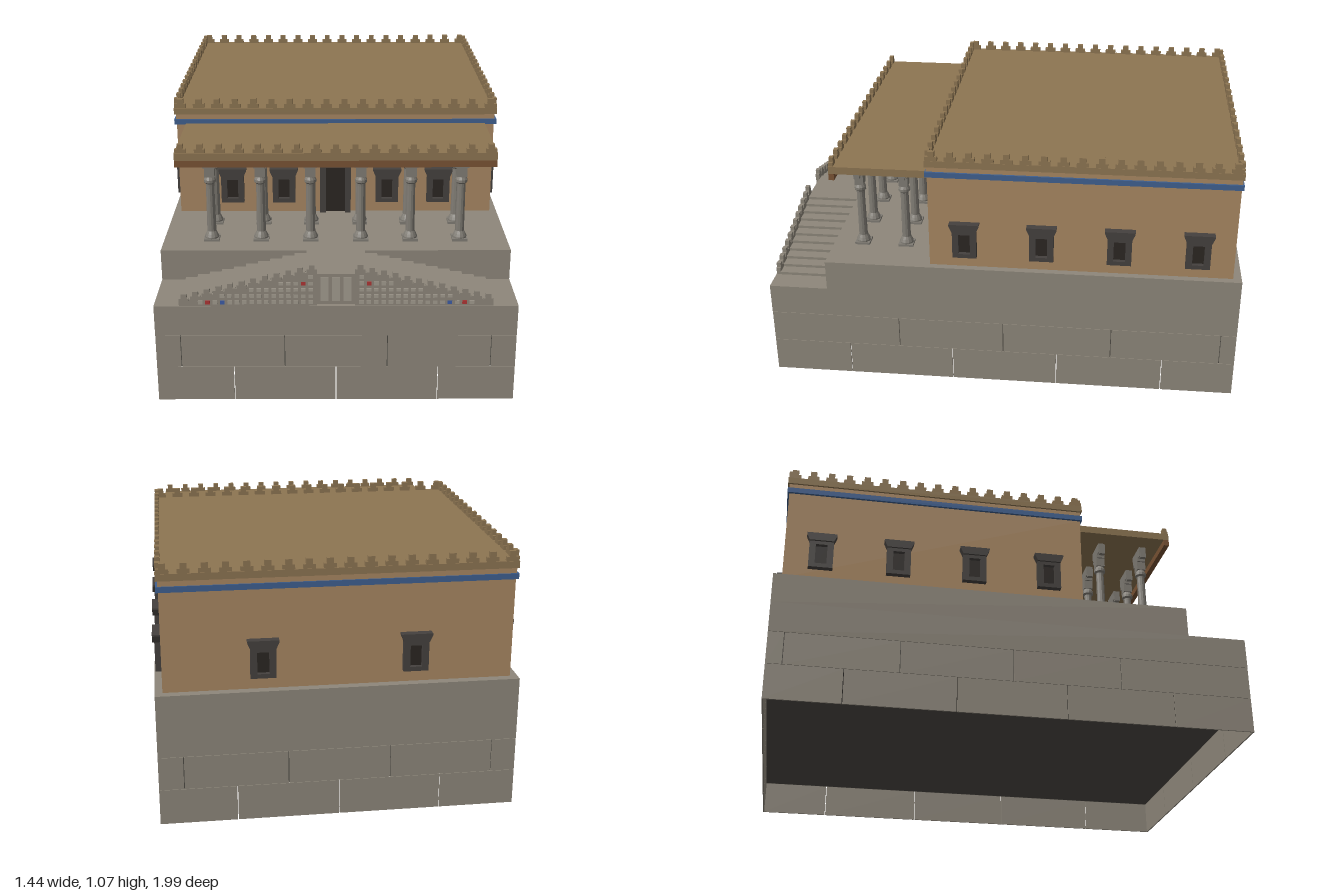
import * as THREE from 'three';

const mat = (color, extra = {}) => new THREE.MeshStandardMaterial({ color, ...extra });
const M = {
  stone: mat(0x8e877b), core: mat(0x4d4a44), tan: mat(0xa88762), roof: mat(0x8d7552),
  blue: mat(0x3f6090), dark: mat(0x45413e), hole: mat(0x2b2622), wood: mat(0x7a5334),
  column: mat(0x807c74), pale: mat(0xa39c90), red: mat(0xb03434), tile: mat(0x3c5ca8),
};

// Box given by its limits on each axis
function block(parent, name, m, x0, x1, y0, y1, z0, z1) {
  const mesh = new THREE.Mesh(new THREE.BoxGeometry(x1 - x0, y1 - y0, z1 - z0), m);
  mesh.position.set((x0 + x1) / 2, (y0 + y1) / 2, (z0 + z1) / 2);
  mesh.name = name;
  parent.add(mesh);
  return mesh;
}

function group(parent, name) {
  const g = new THREE.Group();
  g.name = name;
  parent.add(g);
  return g;
}

// Two-stepped merlon, standing on its origin
const merlonShape = new THREE.Shape([
  [-0.024, 0], [0.024, 0], [0.024, 0.018], [0.013, 0.018],
  [0.013, 0.04], [-0.013, 0.04], [-0.013, 0.018], [-0.024, 0.018],
].map(([x, y]) => new THREE.Vector2(x, y)));
const merlonGeo = new THREE.ExtrudeGeometry(merlonShape, { depth: 0.018, bevelEnabled: false }).translate(0, 0, -0.009);

// Row of merlons between two points
function merlonRow(parent, a, b, count, m, scale = 1) {
  const p = new THREE.Vector3(...a), q = new THREE.Vector3(...b);
  for (let i = 0; i < count; i++) {
    const mesh = new THREE.Mesh(merlonGeo, m);
    mesh.position.lerpVectors(p, q, i / (count - 1));
    mesh.rotation.y = Math.abs(q.z - p.z) > Math.abs(q.x - p.x) ? Math.PI / 2 : 0;
    mesh.scale.set(scale, scale, 1);
    mesh.name = 'merlon';
    parent.add(mesh);
  }
}

// Framed opening with a flared cornice, facing +z, standing on its origin
function opening(parent, name, x, y, z, turn, w, h, holeW, sill) {
  const g = group(parent, name);
  const top = h - 0.05, side = (w - holeW) / 2;
  block(g, 'jamb', M.dark, -w / 2, -w / 2 + side, 0, top, -0.01, 0.024);
  block(g, 'jamb', M.dark, w / 2 - side, w / 2, 0, top, -0.01, 0.024);
  block(g, 'lintel', M.dark, -w / 2, w / 2, top, h - 0.035, -0.01, 0.024);
  if (sill) block(g, 'sill', M.dark, -holeW / 2, holeW / 2, 0, sill, -0.01, 0.024);
  block(g, 'recess', M.hole, -holeW / 2, holeW / 2, sill, top, -0.01, 0.006);
  const flare = new THREE.Shape([[-w / 2, 0], [w / 2, 0], [w / 2 + 0.012, 0.028], [w / 2 + 0.012, 0.035],
    [-w / 2 - 0.012, 0.035], [-w / 2 - 0.012, 0.028]].map(([a, b]) => new THREE.Vector2(a, b)));
  const cornice = new THREE.Mesh(new THREE.ExtrudeGeometry(flare, { depth: 0.042, bevelEnabled: false }), M.dark);
  cornice.position.set(0, h - 0.035, -0.01);
  cornice.name = 'cornice';
  g.add(cornice);
  g.position.set(x, y, z);
  g.rotation.y = turn;
}

// One course of facing blocks around the platform, split at the seams
function course(parent, y0, y1, seamsX, seamsZ) {
  const gap = 0.0015, t = 0.006;
  const spans = (seams, half) => [-half, ...seams, half].slice(0, -1)
    .map((s, i) => [s + gap, [...seams, half][i] - gap]);
  for (const s of [-1, 1]) {
    const zs = [s * 0.995, s * (0.995 - t)].sort((a, b) => a - b);
    const xs = [s * 0.72, s * (0.72 - t)].sort((a, b) => a - b);
    for (const [a, b] of spans(seamsX, 0.72)) block(parent, 'facingBlock', M.stone, a, b, y0, y1 - gap, ...zs);
    for (const [a, b] of spans(seamsZ, 0.995)) block(parent, 'facingBlock', M.stone, ...xs, y0, y1 - gap, a, b);
  }
}

function buildPlatform(root) {
  const g = group(root, 'platform');
  course(g, 0, 0.15, [-0.41, 0, 0.41], [-0.69, -0.24, 0.21, 0.66]);
  course(g, 0.15, 0.29, [-0.62, -0.205, 0.205, 0.62], [-0.93, -0.47, -0.01, 0.44]);
  block(g, 'platformCore', M.core, -0.716, 0.716, 0.15, 0.29, -0.991, 0.991);
  block(g, 'topCourse', M.stone, -0.72, 0.72, 0.29, 0.42, -0.995, 0.995);
  block(g, 'terrace', M.stone, -0.72, 0.72, 0.42, 0.55, -0.995, 0.745);
}

function buildHall(root) {
  const g = group(root, 'hall');
  block(g, 'walls', M.tan, -0.69, 0.69, 0.55, 0.96, -0.96, 0.3);
  block(g, 'blueBand', M.blue, -0.7, 0.7, 0.957, 0.98, -0.968, 0.308);
  block(g, 'frieze', M.tan, -0.692, 0.692, 0.98, 1.002, -0.962, 0.302);
  block(g, 'roof', M.roof, -0.7, 0.7, 1.002, 1.03, -0.968, 0.308);
  const X = 0.69, Z0 = -0.957, Z1 = 0.297, y = 1.03;
  for (const z of [Z0, Z1]) merlonRow(g, [-0.672, y, z], [0.672, y, z], 18, M.roof);
  for (const x of [-X, X]) merlonRow(g, [x, y, Z0 + 0.018], [x, y, Z1 - 0.018], 17, M.roof);
  // Windows on the sides, back and front, and the main door
  for (const s of [-1, 1]) {
    for (const z of [0.15, -0.17, -0.49, -0.81]) opening(g, 'sideWindow', s * 0.69, 0.6, z, s * Math.PI / 2, 0.1, 0.157, 0.048, 0.018);
    opening(g, 'backWindow', s * 0.3, 0.6, -0.96, Math.PI, 0.1, 0.157, 0.048, 0.018);
    for (const x of [0.228, 0.455]) opening(g, 'frontWindow', s * x, 0.6, 0.3, 0, 0.1, 0.157, 0.048, 0.018);
  }
  opening(g, 'door', 0, 0.55, 0.3, 0, 0.136, 0.262, 0.085, 0);
}

function buildPortico(root) {
  const g = group(root, 'portico');
  block(g, 'porticoRoof', M.roof, -0.65, 0.65, 0.93, 0.962, 0.3, 0.718);
  block(g, 'frontBeam', M.wood, -0.65, 0.65, 0.902, 0.93, 0.695, 0.718);
  merlonRow(g, [-0.625, 0.962, 0.707], [0.625, 0.962, 0.707], 17, M.roof, 0.9);
  // Bell base, slender shaft and flared neck
  const profile = [[0, 0.008], [0.03, 0.008], [0.03, 0.016], [0.025, 0.028], [0.019, 0.04], [0.019, 0.05],
    [0.0175, 0.24], [0.018, 0.25], [0.025, 0.257], [0.025, 0.268], [0.019, 0.28], [0.017, 0.3], [0, 0.3]]
    .map(([r, y]) => new THREE.Vector2(r, y));
  const shaftGeo = new THREE.LatheGeometry(profile, 12);
  const shaftMat = mat(0x807c74, { flatShading: true });
  for (const z of [0.43, 0.62]) for (const x of [-0.52, -0.312, -0.105, 0.105, 0.312, 0.52]) {
    const c = group(g, 'column');
    c.position.set(x, 0.55, z);
    const shaft = new THREE.Mesh(shaftGeo, shaftMat);
    shaft.name = 'shaft';
    c.add(shaft);
    block(c, 'plinth', M.column, -0.032, 0.032, 0, 0.01, -0.032, 0.032);
    block(c, 'capital', M.column, -0.021, 0.021, 0.282, 0.335, -0.019, 0.019);
    block(c, 'capitalTop', M.column, -0.028, 0.028, 0.32, 0.345, -0.017, 0.017);
    block(c, 'bracket', M.column, -0.05, 0.05, 0.335, 0.38, -0.015, 0.015);
    for (const s of [-1, 1]) block(c, 'bracketEnd', M.column, s * 0.047 - 0.009, s * 0.047 + 0.009, 0.326, 0.35, -0.012, 0.012);
  }
}

function buildStairs(root) {
  const g = group(root, 'stairs');
  const steps = 10, inner = 0.12, outer = 0.62, tread = (outer - inner) / steps;
  block(g, 'landing', M.stone, -inner, inner, 0.42, 0.55, 0.745, 0.978);
  for (const x of [-0.045, 0, 0.045]) block(g, 'landingPanel', M.pale, x - 0.016, x + 0.016, 0.435, 0.535, 0.97, 0.982);
  const slope = x => THREE.MathUtils.mapLinear(x, 0.075, 0.62, 0.572, 0.437);
  for (const s of [-1, 1]) {
    const f = group(g, s > 0 ? 'leftFlight' : 'rightFlight');
    const span = (a, b) => (s > 0 ? [a, b] : [-b, -a]);
    for (let i = 0; i < steps; i++) {
      const x = inner + i * tread;
      block(f, 'step', M.stone, ...span(x, x + tread), 0.42, 0.55 - (i + 1) * 0.13 / (steps + 1), 0.745, 0.978);
    }
    // Sloping parapet with merlons and small raised tiles
    const wall = new THREE.Shape([[0.075, 0.42], [0.62, 0.42], [0.62, slope(0.62)], [0.075, slope(0.075)]]
      .map(([x, y]) => new THREE.Vector2(s * x, y)));
    const parapet = new THREE.Mesh(new THREE.ExtrudeGeometry(wall, { depth: 0.017, bevelEnabled: false }), M.stone);
    parapet.position.z = 0.975;
    parapet.name = 'parapet';
    f.add(parapet);
    const a = 0.095, b = 0.6;
    merlonRow(f, [s * a, slope(a) - 0.006, 0.984], [s * b, slope(b) - 0.006, 0.984], 12, M.stone, 0.85);
    for (let row = 0; row < 5; row++) for (let i = 0; i < 18; i++) {
      const x = 0.1 + i * 0.029, y = 0.436 + row * 0.027;
      if (y + 0.014 > slope(x + 0.01)) continue;
      const k = (i * 7 + row * 5) % 19;
      const m = k === 3 ? M.red : k === 8 ? M.tile : M.pale;
      block(f, 'tile', m, ...span(x - 0.009, x + 0.009), y - 0.007, y + 0.007, 0.988, 0.996);
    }
  }
}

export function createModel() {
  const root = new THREE.Group();
  root.name = 'palace';
  buildPlatform(root);
  buildHall(root);
  buildPortico(root);
  buildStairs(root);
  return root;
}
